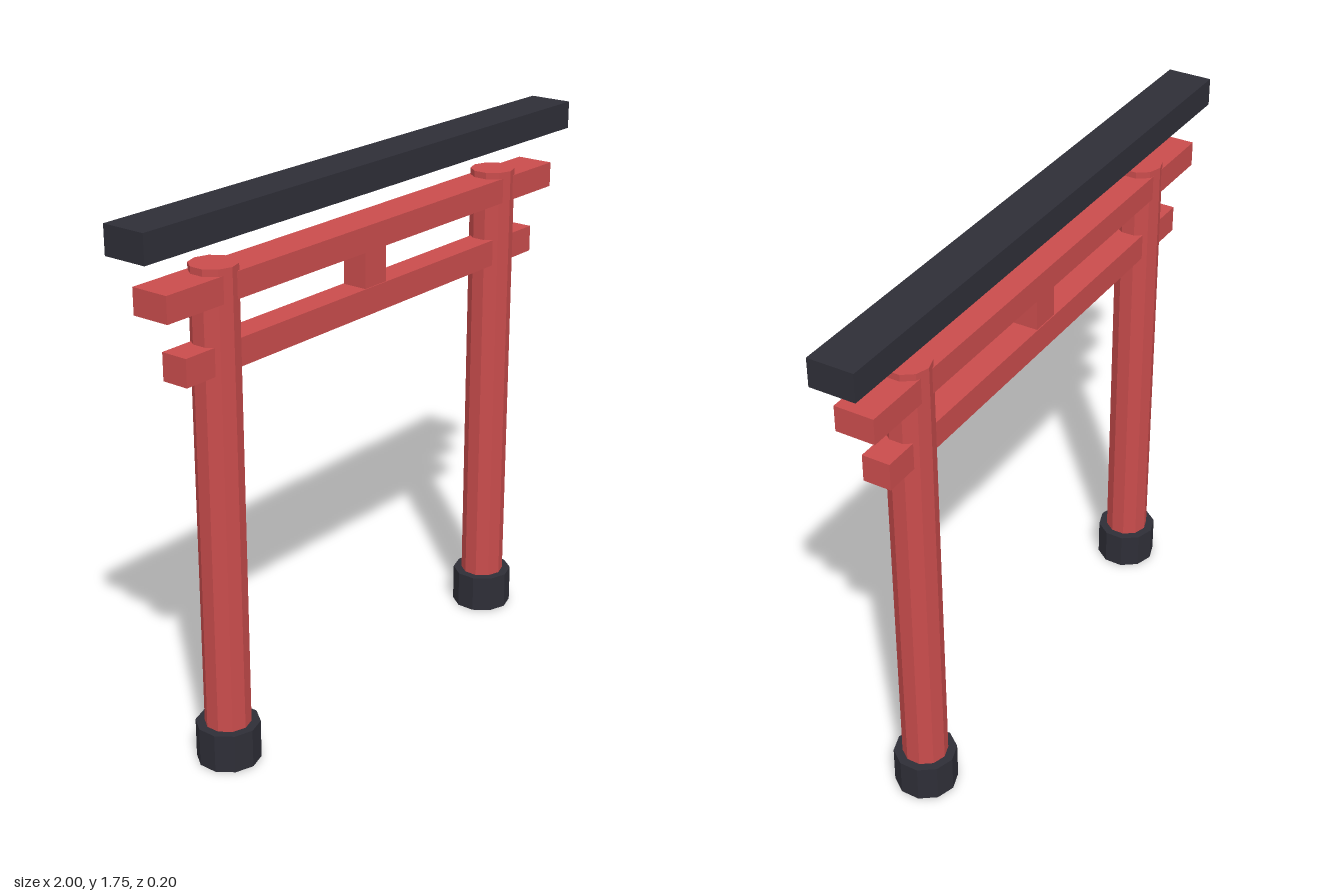
import * as THREE from 'three';

export function createModel() {
  const gate = new THREE.Group();
  gate.name = 'gate';

  const red = new THREE.MeshStandardMaterial({ color: 0xc94c4c, flatShading: true });
  red.name = 'red lacquer';
  const dark = new THREE.MeshStandardMaterial({ color: 0x2e2e37, flatShading: true });
  dark.name = 'dark slate';

  function add(name, geometry, material, x, y) {
    const mesh = new THREE.Mesh(geometry, material);
    mesh.name = name;
    mesh.position.set(x, y, 0);
    gate.add(mesh);
  }

  // Box centred on the gate, spanning bottom to top
  function beam(name, width, bottom, top, depth, material) {
    add(name, new THREE.BoxGeometry(width, top - bottom, depth), material, 0, (bottom + top) / 2);
  }

  // Ten-sided post spanning bottom to top
  function post(name, x, radius, bottom, top, material) {
    add(name, new THREE.CylinderGeometry(radius, radius, top - bottom, 10), material, x, (bottom + top) / 2);
  }

  // Pillars and their footings
  for (const [side, x] of [['left', 0.667], ['right', -0.667]]) {
    post(side + 'Pillar', x, 0.072, 0, 1.583, red);
    post(side + 'Footing', x, 0.1, 0.001, 0.126, dark);
  }

  // Horizontal beams, centre strut and floating top lintel
  beam('lowerBeam', 1.667, 1.271, 1.357, 0.09, red);
  beam('upperBeam', 1.833, 1.481, 1.562, 0.126, red);
  beam('centreStrut', 0.1, 1.357, 1.481, 0.084, red);
  beam('topLintel', 2, 1.666, 1.755, 0.146, dark);

  return gate;
}
